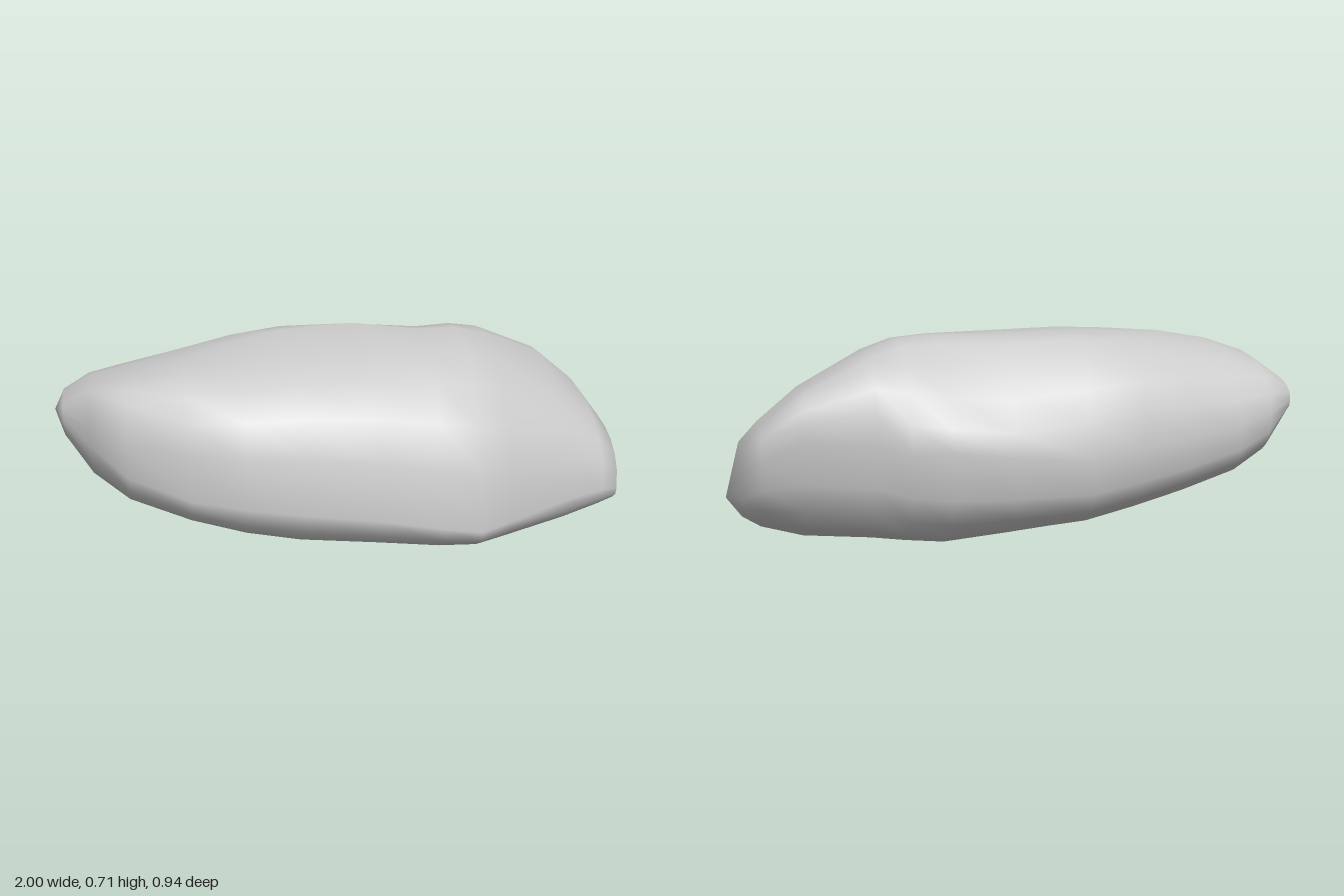
import * as THREE from 'three';
import { mergeVertices } from 'three/addons/utils/BufferGeometryUtils.js';

// Cross-sections along x: x, top y z, bottom y z, front z y, back z y
const sections = [
  [-1.0, 0.49, -0.03, 0.49, -0.03, -0.03, 0.49, -0.03, 0.49],
  [-0.97, 0.53, -0.02, 0.40, -0.04, 0.06, 0.47, -0.22, 0.46],
  [-0.88, 0.605, 0.06, 0.26, -0.05, 0.165, 0.42, -0.27, 0.42],
  [-0.76, 0.645, 0.12, 0.19, -0.05, 0.31, 0.36, -0.315, 0.39],
  [-0.56, 0.683, 0.075, 0.13, -0.03, 0.39, 0.30, -0.365, 0.36],
  [-0.38, 0.70, -0.03, 0.085, -0.02, 0.46, 0.29, -0.41, 0.34],
  [-0.2, 0.714, -0.10, 0.045, -0.02, 0.465, 0.26, -0.44, 0.32],
  [0.06, 0.713, -0.14, 0.02, -0.03, 0.465, 0.22, -0.457, 0.34],
  [0.28, 0.707, -0.06, 0.0, -0.03, 0.455, 0.17, -0.475, 0.37],
  [0.41, 0.70, -0.08, 0.005, -0.03, 0.455, 0.15, -0.43, 0.36],
  [0.52, 0.665, -0.11, 0.012, -0.03, 0.41, 0.16, -0.39, 0.39],
  [0.75, 0.55, -0.20, 0.025, -0.02, 0.305, 0.18, -0.345, 0.40],
  [0.89, 0.43, -0.19, 0.06, 0.0, 0.245, 0.18, -0.31, 0.34],
  [0.95, 0.345, -0.06, 0.09, 0.02, 0.22, 0.17, -0.20, 0.24],
  [1.0, 0.14, 0.05, 0.14, 0.05, 0.05, 0.14, 0.05, 0.14],
];

// Corner roundness per section (lower is squarer): front top, back top, back bottom
const corners = [
  [1, 1, 1],
  [0.8, 0.85, 0.8],
  [0.8, 0.88, 0.75],
  [0.78, 0.9, 0.72],
  [0.76, 0.9, 0.7],
  [0.74, 0.92, 0.7],
  [0.74, 1.05, 0.7],
  [0.76, 1.35, 0.7],
  [0.82, 1.3, 0.7],
  [0.87, 1.08, 0.75],
  [0.87, 0.82, 0.8],
  [0.85, 0.74, 0.82],
  [0.82, 0.76, 0.85],
  [0.82, 0.82, 0.85],
  [1, 1, 1],
];

// Rounded quadrants joining the four extremes of a section
function sectionPoint([x, yT, zT, yB, zB, zF, yF, zK, yK], [frontTop, backTop, backBottom], angle) {
  const c = Math.cos(angle), s = Math.sin(angle);
  const front = c > 0, top = s > 0;
  const power = front ? (top ? frontTop : 0.95) : (top ? backTop : backBottom);
  const u = Math.abs(c) ** power, v = Math.abs(s) ** power;
  const yMid = front ? yF : yK, zMid = top ? zT : zB;
  return [
    x,
    THREE.MathUtils.lerp(yMid, top ? yT : yB, v),
    THREE.MathUtils.lerp(zMid, front ? zF : zK, u),
  ];
}

export function createModel() {
  const sides = 20, positions = [], index = [];
  sections.forEach((section, i) => {
    for (let j = 0; j < sides; j++) {
      positions.push(...sectionPoint(section, corners[i], (j / sides) * Math.PI * 2));
      if (i === sections.length - 1) continue;
      const a = i * sides + j, b = i * sides + ((j + 1) % sides);
      index.push(a, a + sides, b, b, a + sides, b + sides);
    }
  });

  let geometry = new THREE.BufferGeometry();
  geometry.setAttribute('position', new THREE.Float32BufferAttribute(positions, 3));
  geometry.setIndex(index);
  geometry = mergeVertices(geometry);
  geometry.computeVertexNormals();

  const rock = new THREE.Mesh(geometry, new THREE.MeshStandardMaterial({ color: 0xcccccc }));
  rock.name = 'rock';
  const group = new THREE.Group();
  group.name = 'boulder';
  group.add(rock);
  return group;
}
